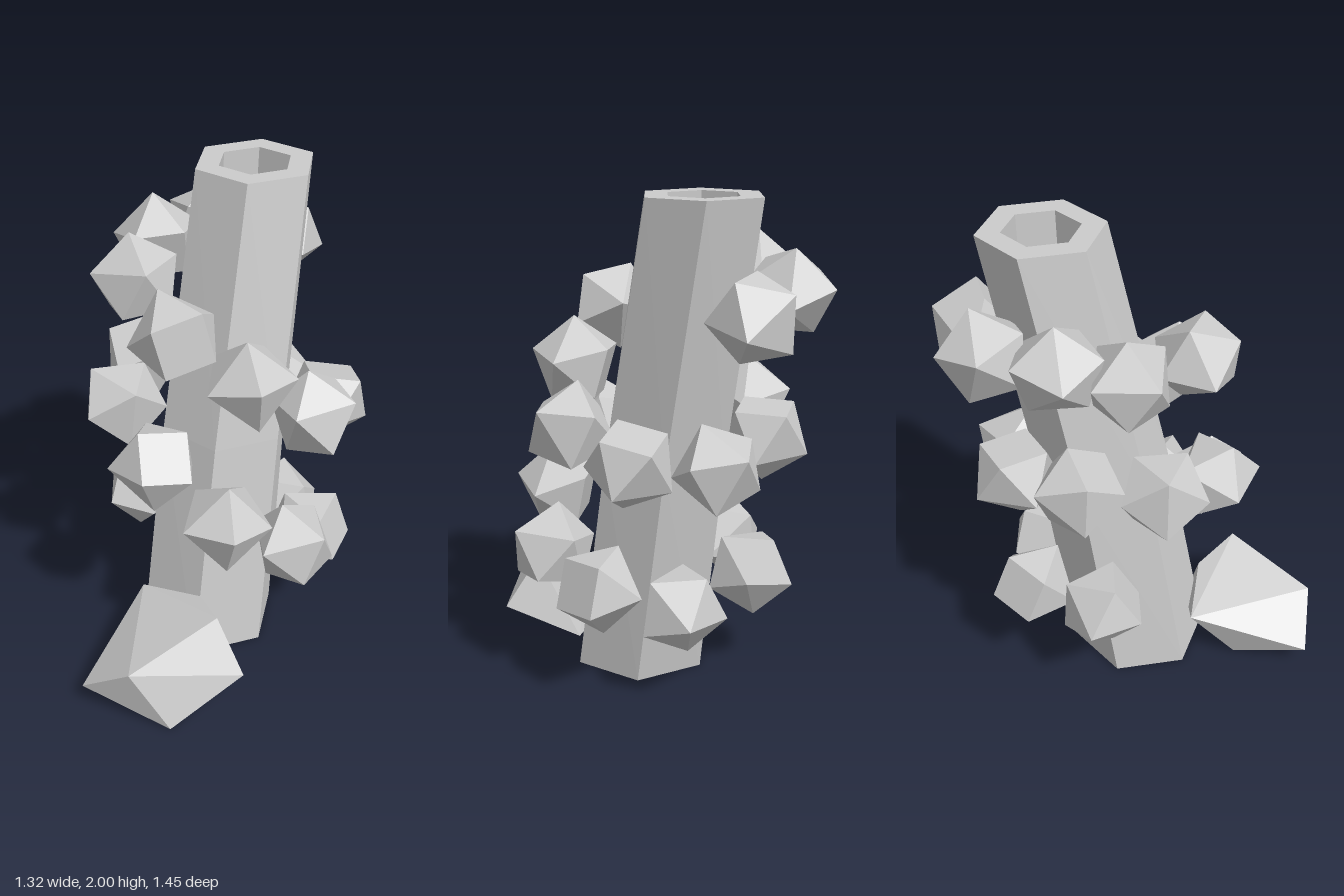
import * as THREE from 'three';
import { ConvexGeometry } from 'three/addons/geometries/ConvexGeometry.js';

const stone = new THREE.MeshStandardMaterial({ color: 0xcccccc });
stone.name = 'paleStone';

// Flat-shaded loft through six-sided rings given as [x, y, z, radius, turn]
function loftHexagons(rings) {
  const corner = ([x, y, z, r, turn], i) => {
    const a = turn + (i * Math.PI) / 3;
    return [x + r * Math.cos(a), y, z + r * Math.sin(a)];
  };
  const positions = [];
  for (let k = 0; k < rings.length - 1; k++) {
    const [low, high] = [rings[k], rings[k + 1]];
    for (let i = 0; i < 6; i++) {
      const a = corner(low, i), b = corner(high, i);
      const c = corner(high, i + 1), d = corner(low, i + 1);
      if (high[3] > 0) positions.push(...a, ...b, ...c);
      if (low[3] > 0) positions.push(...a, ...c, ...d);
    }
  }
  const geometry = new THREE.BufferGeometry();
  geometry.setAttribute('position', new THREE.Float32BufferAttribute(positions, 3));
  geometry.computeVertexNormals();
  return geometry;
}

// Small faceted rock: a square foot, a twisted square ring and a peak
function rockShape(radius) {
  const points = [new THREE.Vector3(0, radius, 0)];
  for (let i = 0; i < 4; i++) {
    const turn = (i * Math.PI) / 2;
    points.push(new THREE.Vector3().setFromSphericalCoords(radius, 1.25, turn));
    points.push(new THREE.Vector3().setFromSphericalCoords(radius, 2.28, turn + Math.PI / 4));
  }
  return new ConvexGeometry(points).translate(0, -0.12 * radius, 0);
}

// Small seeded random generator
function seeded(seed) {
  return () => {
    seed = (seed * 16807) % 2147483647;
    return seed / 2147483647;
  };
}

export function createModel() {
  const model = new THREE.Group();
  const add = (name, geometry, parent = model) => {
    const mesh = new THREE.Mesh(geometry, stone);
    mesh.name = name;
    parent.add(mesh);
    return mesh;
  };

  // Leaning, slightly bent column with a socket in its top
  add('column', loftHexagons([
    [-0.03, 0, 0.055, 0, -0.1],
    [-0.03, 0, 0.055, 0.297, -0.1],
    [0.075, 0.95, -0.06, 0.275, -0.13],
    [0.225, 2, -0.22, 0.249, -0.15],
    [0.225, 2, -0.22, 0.152, -0.15],
    [0.217, 1.8, -0.219, 0.152, -0.15],
    [0.217, 1.8, -0.219, 0, -0.15],
  ]));

  // Boulder leaning against the foot of the column
  const corners = [
    [-0.66, 0.10, 0.51], [-0.49, 0.26, 0.66], [-0.10, 0.37, 0.53],
    [-0.02, 0.16, 0.66], [-0.02, 0.04, 0.33], [-0.34, 0.0, 0.73],
    [-0.41, 0.0, 0.31], [-0.33, 0.25, 0.12], [-0.12, 0.31, 0.32],
  ];
  add('boulder', new ConvexGeometry(corners.map((p) => new THREE.Vector3(...p))));

  // Faceted rocks winding down around the column, from the top to the bottom
  const spiral = [
    [0.41, 1.56, -0.45], [0.12, 1.63, -0.57], [-0.13, 1.65, -0.42],
    [-0.27, 1.60, -0.17], [-0.19, 1.50, 0.18], [0.08, 1.32, 0.32],
    [0.36, 1.11, 0.29], [0.49, 1.00, 0.02], [0.37, 0.98, -0.29],
    [0.10, 1.02, -0.46], [-0.20, 1.10, -0.38], [-0.38, 1.07, -0.06],
    [-0.29, 0.95, 0.23], [-0.04, 0.75, 0.43], [0.25, 0.60, 0.37],
    [0.38, 0.46, 0.14], [0.38, 0.38, -0.15], [0.08, 0.44, -0.40],
    [-0.23, 0.47, -0.30],
  ];
  const rocks = new THREE.Group();
  rocks.name = 'spiralRocks';
  model.add(rocks);
  const rockGeometry = rockShape(0.188);
  const random = seeded(4217);
  spiral.forEach((p, i) => {
    const rock = add(`rock${i + 1}`, rockGeometry, rocks);
    rock.position.set(...p);
    rock.rotation.set(random() * 6.28, random() * 6.28, random() * 6.28);
  });

  return model;
}
